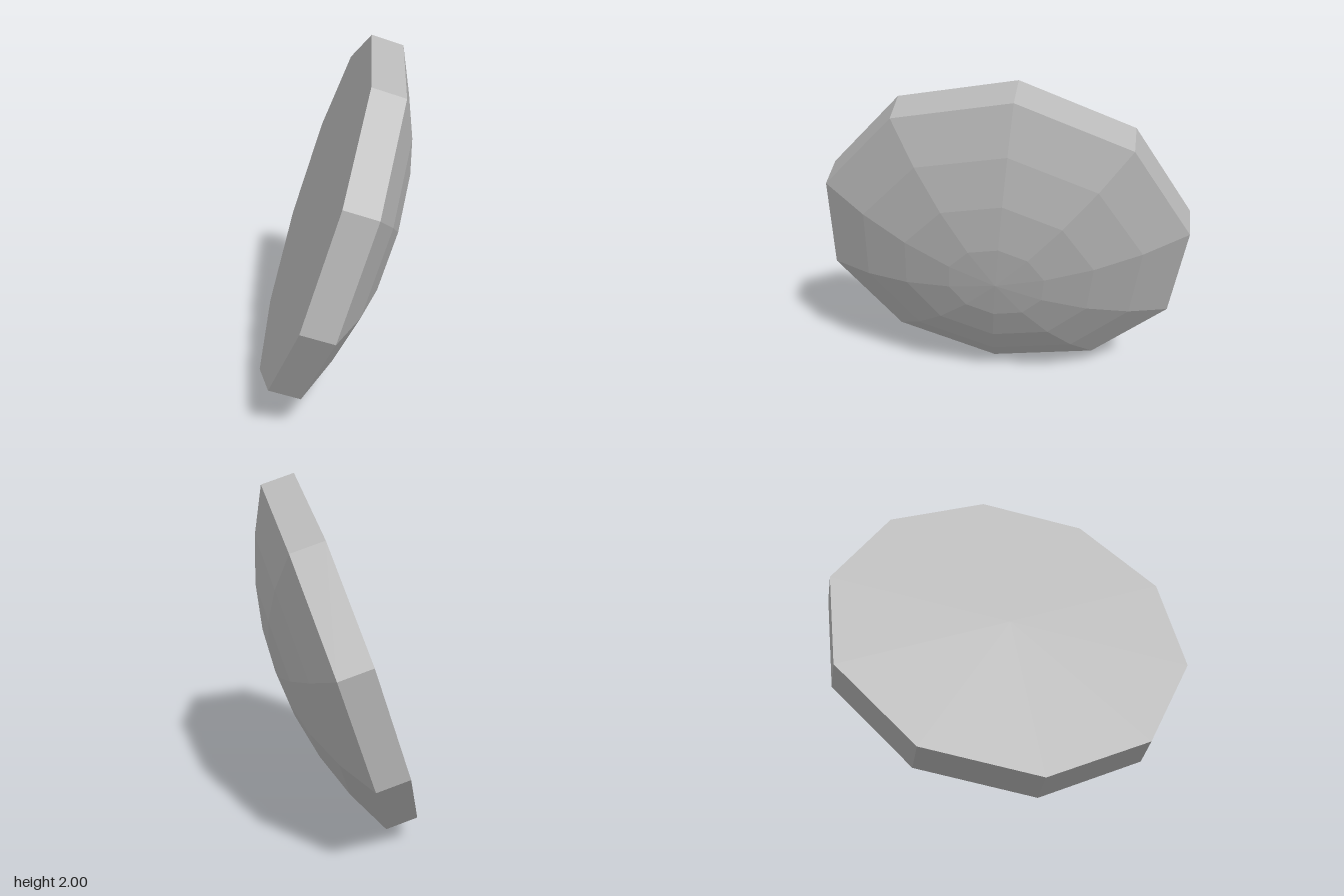
import * as THREE from 'three';

const SIDES = 10;
const RADIUS = 1.027;
const THICKNESS = 0.18;
const CAP_ANGLE = Math.PI / 6; // half angle of the spherical cap
const RINGS = 4;

export function createModel() {
  const model = new THREE.Group();
  model.name = 'domedDisc';
  const grey = new THREE.MeshStandardMaterial({ color: 0xb8b8b8, flatShading: true });
  grey.name = 'plain grey';

  const addLathe = (name, points) => {
    const mesh = new THREE.Mesh(new THREE.LatheGeometry(points, SIDES), grey);
    mesh.name = name;
    model.add(mesh);
  };

  // Flat back and straight rim
  addLathe('backAndRim', [
    new THREE.Vector2(0, -THICKNESS),
    new THREE.Vector2(RADIUS, -THICKNESS),
    new THREE.Vector2(RADIUS, 0),
  ]);

  // Shallow faceted dome, evenly spaced rings of a sphere cap
  const sphere = RADIUS / Math.sin(CAP_ANGLE);
  const dome = [];
  for (let i = RINGS; i >= 0; i--) {
    const a = (CAP_ANGLE * i) / RINGS;
    dome.push(new THREE.Vector2(sphere * Math.sin(a), sphere * (Math.cos(a) - Math.cos(CAP_ANGLE))));
  }
  addLathe('dome', dome);

  // Tilt the disc: its axis points along the dome, one corner along "corner"
  const axis = new THREE.Vector3(0.895, -0.315, -0.315).normalize();
  const across = new THREE.Vector3(0, 1, -1).normalize();
  const along = new THREE.Vector3().crossVectors(across, axis);
  const turn = THREE.MathUtils.degToRad(54);
  const corner = along.multiplyScalar(-Math.cos(turn)).addScaledVector(across, Math.sin(turn));
  if (corner.x < 0) corner.addScaledVector(across, -2 * Math.sin(turn)).negate();
  const side = new THREE.Vector3().crossVectors(axis, corner);
  model.quaternion.setFromRotationMatrix(new THREE.Matrix4().makeBasis(side, axis, corner));
  model.position.set(0.08, 0.972, -0.028);

  const root = new THREE.Group();
  root.name = 'model';
  root.add(model);
  return root;
}
